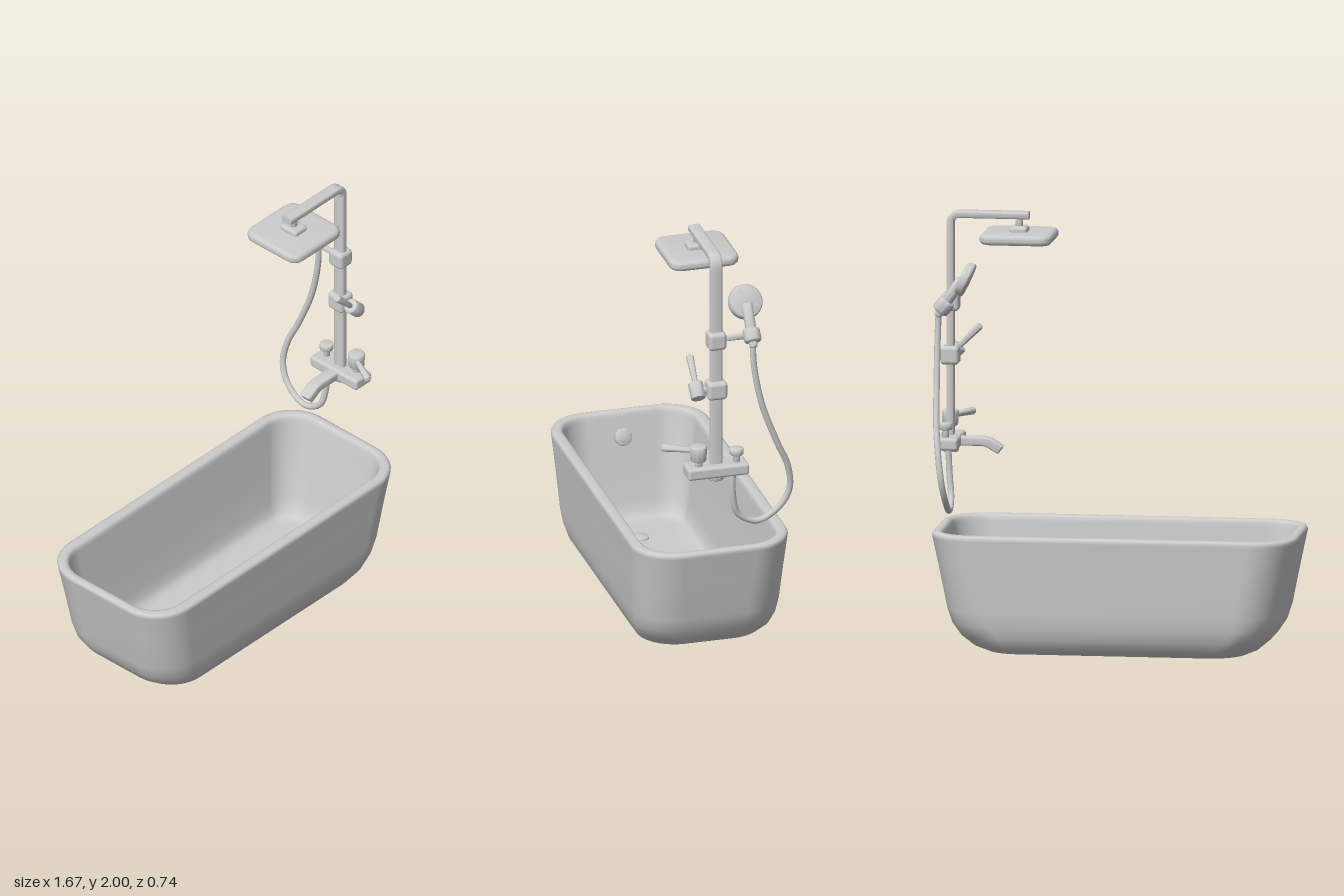
import * as THREE from 'three';
import { toCreasedNormals } from 'three/addons/utils/BufferGeometryUtils.js';
import { RoundedBoxGeometry } from 'three/addons/geometries/RoundedBoxGeometry.js';

const V = (x, y, z) => new THREE.Vector3(x, y, z);
const grey = new THREE.MeshStandardMaterial({ color: 0xcccccc });

function part(parent, name, geometry, x = 0, y = 0, z = 0) {
  const mesh = new THREE.Mesh(geometry, grey);
  mesh.name = name;
  mesh.position.set(x, y, z);
  parent.add(mesh);
  return mesh;
}

// Round bar from a to b with softened end edges
function rod(parent, name, a, b, r1, r2 = r1, bevel = 0.006) {
  const length = a.distanceTo(b);
  const profile = [new THREE.Vector2(0, 0)];
  const arc = (r, y, from) => {
    for (let i = 0; i <= 4; i++) {
      const t = from + (i / 4) * Math.PI / 2;
      profile.push(new THREE.Vector2(r - bevel + Math.cos(t) * bevel, y + Math.sin(t) * bevel));
    }
  };
  arc(r1, bevel, -Math.PI / 2);
  arc(r2, length - bevel, 0);
  profile.push(new THREE.Vector2(0, length));
  const mesh = part(parent, name, toCreasedNormals(new THREE.LatheGeometry(profile, 28), 0.7), a.x, a.y, a.z);
  mesh.quaternion.setFromUnitVectors(V(0, 1, 0), b.clone().sub(a).normalize());
  return mesh;
}

// Outline extruded along z, centred, with rounded edges that stay inside the outline
function extrude(shape, width, bevel) {
  const g = new THREE.ExtrudeGeometry(shape, {
    depth: width - 2 * bevel, bevelEnabled: true, bevelSize: bevel, bevelThickness: bevel,
    bevelOffset: -bevel, bevelSegments: 3, curveSegments: 10,
  });
  g.translate(0, 0, bevel - width / 2);
  return toCreasedNormals(g, 0.6);
}

// Points round a rectangle with rounded corners at height y
function ring(hx, hz, r, y, n = 10) {
  const points = [];
  for (let c = 0; c < 4; c++) {
    const sx = c === 0 || c === 3 ? 1 : -1, sz = c < 2 ? 1 : -1;
    for (let i = 0; i <= n; i++) {
      const t = (c + i / n) * Math.PI / 2;
      points.push([sx * (hx - r) + r * Math.cos(t), y, sz * (hz - r) + r * Math.sin(t)]);
    }
  }
  return points;
}

const ringShape = (...args) =>
  new THREE.Shape(ring(...args).map(([x, , z]) => new THREE.Vector2(x, z)));

// Skin from the outside base, over the rim, down to the inside floor
function tubGeometry() {
  // half length, half width, corner radius, height
  const sections = [
    [0.535, 0.195, 0.13, 0], [0.59, 0.245, 0.155, 0.008], [0.65, 0.289, 0.175, 0.035],
    [0.707, 0.32, 0.188, 0.083], [0.745, 0.336, 0.193, 0.14], [0.766, 0.345, 0.195, 0.205],
    [0.80, 0.356, 0.195, 0.38], [0.832, 0.367, 0.195, 0.535], [0.834, 0.368, 0.195, 0.547],
    [0.829, 0.363, 0.191, 0.557], [0.818, 0.352, 0.18, 0.561], [0.804, 0.329, 0.165, 0.561],
    [0.794, 0.318, 0.155, 0.557], [0.788, 0.312, 0.15, 0.547], [0.784, 0.309, 0.147, 0.53],
    [0.735, 0.281, 0.13, 0.30], [0.702, 0.259, 0.115, 0.15], [0.685, 0.246, 0.105, 0.105],
    [0.665, 0.23, 0.095, 0.08], [0.63, 0.20, 0.08, 0.068],
  ];
  const pos = [], index = [];
  sections.forEach(([hx, hz, r, y]) => ring(hx, hz, r, y).forEach(p => pos.push(...p)));
  const n = 44, rows = sections.length;
  for (let j = 0; j < rows - 1; j++) {
    for (let i = 0; i < n; i++) {
      const a = j * n + i, b = j * n + (i + 1) % n;
      index.push(a, a + n, b, b, a + n, b + n);
    }
  }
  const base = rows * n, last = (rows - 1) * n;
  pos.push(0, 0, 0, 0, 0.068, 0);
  for (let i = 0; i < n; i++) {
    const k = (i + 1) % n;
    index.push(base, i, k, base + 1, last + k, last + i);
  }
  const g = new THREE.BufferGeometry();
  g.setAttribute('position', new THREE.Float32BufferAttribute(pos, 3));
  g.setIndex(index);
  g.computeVertexNormals();
  return g;
}

function buildTub() {
  const tub = new THREE.Group();
  tub.name = 'bathtub';
  part(tub, 'tubShell', tubGeometry());
  rod(tub, 'drain', V(-0.475, 0.06, 0), V(-0.475, 0.078, 0), 0.04);
  rod(tub, 'overflowCover', V(-0.77, 0.444, 0), V(-0.744, 0.45, 0), 0.04);
  return tub;
}

function buildShower() {
  const shower = new THREE.Group();
  shower.name = 'showerColumn';
  const px = 0.775;

  // Flat riser bent into the overhead arm
  const path = new THREE.CurvePath();
  path.add(new THREE.LineCurve3(V(px, 0.9, 0.002), V(px, 1.935, 0.002)));
  path.add(new THREE.QuadraticBezierCurve3(V(px, 1.935, 0.002), V(px, 1.983, 0.002), V(0.727, 1.983, 0.002)));
  path.add(new THREE.LineCurve3(V(0.727, 1.983, 0.002), V(0.415, 1.983, 0.002)));
  const pipe = new THREE.ExtrudeGeometry(ringShape(0.0285, 0.0168, 0.01, 0, 4), { steps: 150, extrudePath: path });
  part(shower, 'riserAndArm', toCreasedNormals(pipe, 0.6));

  // Overhead rain head
  const plate = extrude(ringShape(0.165, 0.163, 0.055, 0, 6), 0.047, 0.02);
  part(shower, 'rainHead', plate, 0.462, 1.887, 0.003).rotation.x = -Math.PI / 2;
  part(shower, 'rainHeadMount', new RoundedBoxGeometry(0.082, 0.035, 0.102, 3, 0.015), 0.461, 1.917, 0.002);
  rod(shower, 'rainHeadNeck', V(0.461, 1.92, 0.002), V(0.461, 1.98, 0.002), 0.018);

  // Hand shower with its bracket
  part(shower, 'bracketClamp', new RoundedBoxGeometry(0.082, 0.084, 0.084, 3, 0.018), px, 1.581, 0.002);
  rod(shower, 'bracketArm', V(px, 1.582, -0.03), V(px, 1.582, -0.15), 0.014);
  rod(shower, 'bracketHolder', V(0.762, 1.61, -0.165), V(0.804, 1.56, -0.165), 0.04, 0.04, 0.012);
  rod(shower, 'handShowerHandle', V(0.7, 1.709, -0.165), V(0.78, 1.59, -0.165), 0.025);
  rod(shower, 'handShowerHead', V(0.665, 1.701, -0.164), V(0.704, 1.719, -0.164), 0.081, 0.077, 0.012);
  rod(shower, 'hoseNut', V(0.79, 1.575, -0.165), V(0.813, 1.537, -0.165), 0.022, 0.018);

  // Hose looping down and back up to the mixer
  const hose = new THREE.CatmullRomCurve3([
    V(0.806, 1.56, -0.163), V(0.81, 1.45, -0.167), V(0.809, 1.25, -0.205), V(0.8, 1.05, -0.279),
    V(0.784, 0.92, -0.334), V(0.768, 0.8, -0.346), V(0.756, 0.71, -0.3), V(0.753, 0.653, -0.2),
    V(0.757, 0.7, -0.107), V(0.768, 0.8, -0.08), V(0.775, 0.94, -0.078),
  ]);
  part(shower, 'hose', new THREE.TubeGeometry(hose, 120, 0.0145, 12));

  // Diverter with angled lever
  part(shower, 'diverterClamp', new RoundedBoxGeometry(0.084, 0.086, 0.092, 3, 0.018), px, 1.337, 0.002);
  rod(shower, 'diverterSpindle', V(px, 1.337, 0.03), V(px, 1.337, 0.09), 0.016);
  rod(shower, 'diverterKnob', V(0.8, 1.309, 0.091), V(0.744, 1.365, 0.091), 0.034);
  rod(shower, 'diverterLever', V(0.755, 1.355, 0.091), V(0.65, 1.462, 0.091), 0.012, 0.018, 0.011);

  // Mixer bar and spout
  part(shower, 'mixerBody', new RoundedBoxGeometry(0.106, 0.056, 0.288, 4, 0.014), 0.777, 0.944, 0.002);
  rod(shower, 'mixerHub', V(px, 0.893, 0.002), V(px, 0.93, 0.002), 0.037);
  const spout = new THREE.Shape();
  [[0.76, 0.923], [0.76, 0.964], [0.62, 0.964], [0.588, 0.957], [0.531, 0.922],
    [0.556, 0.888], [0.61, 0.92], [0.63, 0.924]].reverse()
    .forEach(([x, y], i) => (i ? spout.lineTo(x, y) : spout.moveTo(x, y)));
  part(shower, 'spout', extrude(spout, 0.06, 0.008), 0, 0, 0.002);

  // Mixer controls
  rod(shower, 'handleNeck', V(px + 0.014, 0.96, 0.088), V(px + 0.014, 1.01, 0.088), 0.017);
  rod(shower, 'handleBody', V(px + 0.014, 0.997, 0.088), V(px + 0.014, 1.072, 0.088), 0.036, 0.039, 0.01);
  rod(shower, 'handleLever', V(px, 1.045, 0.1), V(0.703, 1.045, 0.24), 0.012, 0.018, 0.011);
  rod(shower, 'knobNeck', V(px + 0.01, 0.96, -0.092), V(px + 0.01, 1.015, -0.092), 0.015);
  rod(shower, 'knobCap', V(px + 0.01, 1.007, -0.092), V(px + 0.01, 1.038, -0.092), 0.032);
  return shower;
}

export function createModel() {
  const model = new THREE.Group();
  model.name = 'bathtubWithShower';
  model.add(buildTub(), buildShower());
  return model;
}
